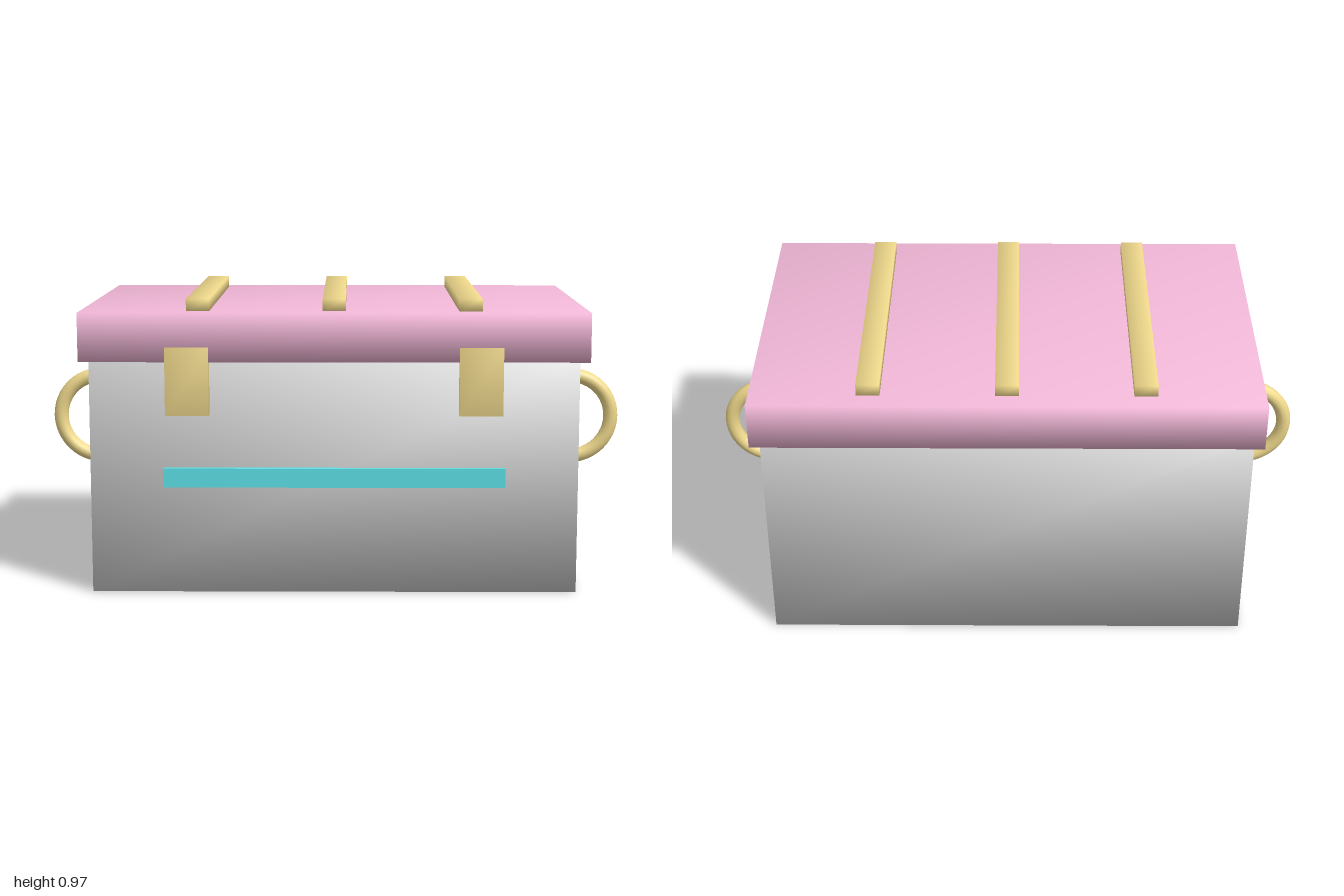
import * as THREE from 'three';
import { mergeVertices } from 'three/addons/utils/BufferGeometryUtils.js';

const grey = new THREE.MeshStandardMaterial({ color: 0xcccccc });
const pink = new THREE.MeshStandardMaterial({ color: 0xf2b8d8 });
const gold = new THREE.MeshStandardMaterial({ color: 0xf0d98c });
const cyan = new THREE.MeshStandardMaterial({ color: 0x5ce1e6 });

// Box given by its limits; soft boxes share their corner normals
function box(name, material, [x0, x1], [y0, y1], [z0, z1], soft = true) {
  let geometry = new THREE.BoxGeometry(x1 - x0, y1 - y0, z1 - z0);
  if (soft) {
    geometry.deleteAttribute('uv');
    geometry.deleteAttribute('normal');
    geometry = mergeVertices(geometry);
    geometry.computeVertexNormals();
  }
  const mesh = new THREE.Mesh(geometry, material);
  mesh.name = name;
  mesh.position.set((x0 + x1) / 2, (y0 + y1) / 2, (z0 + z1) / 2);
  return mesh;
}

export function createModel() {
  const chest = new THREE.Group();
  chest.name = 'chest';

  // Body and overhanging lid
  chest.add(box('body', grey, [-0.8, 0.8], [0, 0.78], [-0.512, 0.509]));
  chest.add(box('lid', pink, [-0.83, 0.83], [0.77, 0.93], [-0.545, 0.541]));

  // Bands across the lid
  for (const x of [-0.445, 0, 0.445]) {
    chest.add(box('lidBand', gold, [x - 0.038, x + 0.038], [0.925, 0.97], [-0.482, 0.478]));
  }

  // Front trim strip
  chest.add(box('frontStrip', cyan, [-0.56, 0.56], [0.355, 0.418], [0.5, 0.53], false));

  // Latches and ring handles on both sides
  for (const side of [-1, 1]) {
    const name = side > 0 ? 'left' : 'right';
    const x = side * 0.478;
    chest.add(box(name + 'Latch', gold, [x - 0.071, x + 0.071], [0.595, 0.818], [0.495, 0.548]));

    const arc = Math.PI * 1.25;
    const handle = new THREE.Mesh(new THREE.TorusGeometry(0.144, 0.025, 12, 30, arc), gold);
    handle.name = name + 'Handle';
    handle.position.set(side * 0.831, 0.513, -0.002);
    handle.rotation.z = -arc / 2 + (side > 0 ? 0 : Math.PI);
    chest.add(handle);
  }

  return chest;
}
